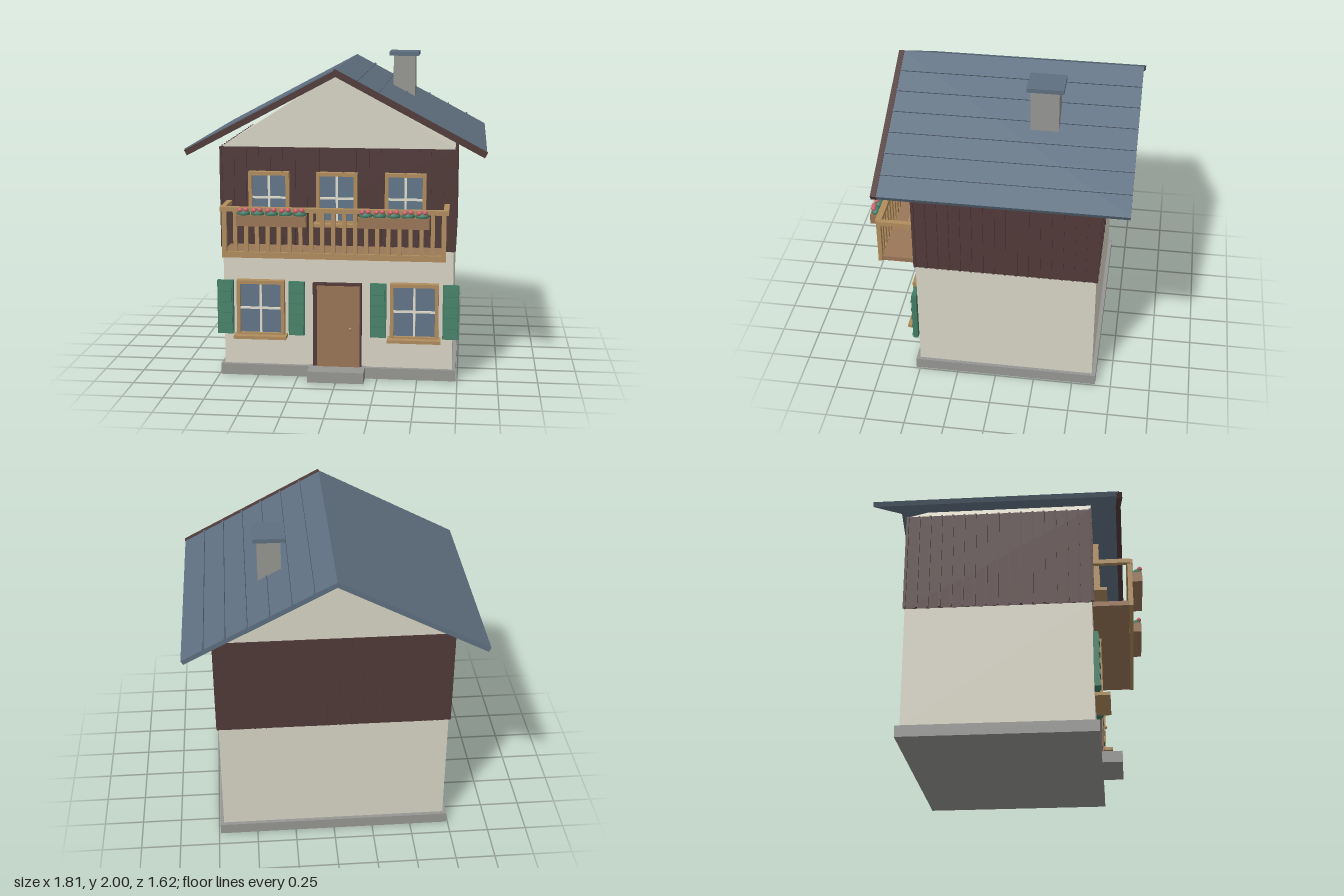
import * as THREE from 'three';

const mat = (name, color) => Object.assign(new THREE.MeshStandardMaterial({ color }), { name });

export function createModel() {
  const house = new THREE.Group();
  house.name = 'house';
  const plaster = mat('plaster', 0xd8d5c5);
  const stone = mat('stone', 0x969693);
  const darkWood = mat('dark wood', 0x513a39);
  const trimWood = mat('trim wood', 0xb08d5e);
  const brownWood = mat('brown wood', 0x9a7657);
  const slate = mat('slate', 0x5f6f80);
  const glass = mat('glass', 0x627689);
  const cream = mat('cream', 0xe2decf);
  const green = mat('green', 0x427d65);
  const red = mat('flower red', 0xd0626a);

  const add = (parent, name, geometry, material) => {
    const mesh = new THREE.Mesh(geometry, material);
    mesh.name = name;
    parent.add(mesh);
    return mesh;
  };
  // Box given by its limits on each axis
  const box = (parent, name, material, [x0, x1], [y0, y1], [z0, z1]) => {
    const mesh = add(parent, name, new THREE.BoxGeometry(x1 - x0, y1 - y0, z1 - z0), material);
    mesh.position.set((x0 + x1) / 2, (y0 + y1) / 2, (z0 + z1) / 2);
    return mesh;
  };
  const group = (parent, name) => {
    const g = new THREE.Group();
    g.name = name;
    parent.add(g);
    return g;
  };

  // Base and walls
  box(house, 'plinth', stone, [-0.74, 0.74], [0, 0.07], [-0.65, 0.525]);
  box(house, 'doorStep', stone, [-0.175, 0.175], [0.005, 0.075], [0.5, 0.65]);
  box(house, 'groundFloorWalls', plaster, [-0.717, 0.717], [0.07, 0.82], [-0.625, 0.5]);
  box(house, 'upperFloorWalls', darkWood, [-0.719, 0.719], [0.82, 1.455], [-0.627, 0.502]);
  const gableShape = new THREE.Shape([
    new THREE.Vector2(-0.717, 1.455), new THREE.Vector2(0.717, 1.455), new THREE.Vector2(0, 1.912),
  ]);
  const gableGeo = new THREE.ExtrudeGeometry(gableShape, { depth: 1.125, bevelEnabled: false });
  add(house, 'gable', gableGeo, plaster).position.z = -0.625;

  // Vertical battens on all four sides
  const battens = group(house, 'battens');
  const yBatten = [0.825, 1.455];
  for (let i = 0; i < 20; i++) {
    const x = -0.72 + (1.44 * i) / 19;
    box(battens, 'frontBatten', darkWood, [x - 0.006, x + 0.006], yBatten, [0.495, 0.512]);
    box(battens, 'backBatten', darkWood, [x - 0.006, x + 0.006], yBatten, [-0.636, -0.62]);
  }
  for (let i = 0; i < 17; i++) {
    const z = -0.625 + (1.125 * i) / 16;
    for (const s of [-1, 1]) {
      const x = s * 0.722;
      box(battens, 'sideBatten', darkWood, [x - 0.008, x + 0.008], yBatten, [z - 0.006, z + 0.006]);
    }
  }

  // Roof: each slope is built flat from the ridge, then tilted
  const tilt = 0.488;
  for (const s of [-1, 1]) {
    const slope = group(house, s > 0 ? 'leftRoofSlope' : 'rightRoofSlope');
    slope.position.y = 1.943;
    slope.rotation.z = -s * tilt;
    const span = (a, b) => (s > 0 ? [a, b] : [-b, -a]);
    box(slope, 'roofSlab', slate, span(0, 1.025), [-0.03, 0], [-0.81, 0.685]);
    const top = s > 0 ? 0.004 : -0.006;
    box(slope, 'bargeBoard', darkWood, span(0, 1.027), [top - 0.036, top], [0.668, 0.702]);
    if (s < 0) continue;
    // Standing seams
    for (let i = 1; i <= 6; i++) {
      const d = (0.129 * i) / Math.cos(tilt);
      box(slope, 'roofSeam', slate, [d - 0.005, d + 0.005], [-0.005, 0.008], [-0.81, 0.668]);
    }
  }

  // Chimney
  box(house, 'chimney', stone, [0.298, 0.44], [1.6, 1.975], [-0.345, -0.175]);
  box(house, 'chimneyCap', slate, [0.27, 0.463], [1.974, 2], [-0.372, -0.152]);

  // Door
  const door = group(house, 'door');
  box(door, 'doorFrame', darkWood, [-0.152, 0.152], [0.072, 0.61], [0.495, 0.53]);
  box(door, 'doorLeaf', brownWood, [-0.126, 0.142], [0.075, 0.595], [0.5, 0.536]);
  const knob = add(door, 'doorKnob', new THREE.SphereGeometry(0.01, 12, 8), trimWood);
  knob.position.set(0.085, 0.325, 0.55);

  // Framed window with crossing bars and a sill
  const addWindow = (cx, y0, y1, halfWidth, name) => {
    const win = group(house, name);
    win.position.x = cx;
    const w = halfWidth, f = 0.022, ym = (y0 + y1) / 2;
    box(win, 'pane', glass, [-w + f, w - f], [y0 + f, y1 - f], [0.5, 0.522]);
    for (const s of [-1, 1]) {
      const x = s * (w - f / 2);
      box(win, 'frameSide', trimWood, [x - f / 2, x + f / 2], [y0, y1], [0.5, 0.545]);
    }
    box(win, 'frameTop', trimWood, [-w, w], [y1 - f, y1], [0.5, 0.547]);
    box(win, 'frameBottom', trimWood, [-w, w], [y0, y0 + f], [0.5, 0.545]);
    box(win, 'uprightBar', cream, [-0.007, 0.007], [y0 + f, y1 - f], [0.515, 0.531]);
    box(win, 'crossBar', cream, [-w + f, w - f], [ym - 0.007, ym + 0.007], [0.515, 0.53]);
    box(win, 'sill', trimWood, [-w - 0.015, w + 0.015], [y0 - 0.008, y0 + 0.012], [0.5, 0.59]);
  };
  for (const x of [-0.42, 0, 0.42]) addWindow(x, 0.985, 1.307, 0.126, 'upperWindow');

  // Lower windows with louvred shutters
  for (const s of [-1, 1]) {
    addWindow(s * 0.48, 0.262, 0.62, 0.15, 'lowerWindow');
    for (const c of [0.255, 0.705]) {
      const shutter = group(house, 'shutter');
      shutter.position.x = s * c;
      box(shutter, 'shutterBoard', green, [-0.05, 0.05], [0.27, 0.612], [0.5, 0.53]);
      for (let i = 0; i < 5; i++) {
        const y = 0.305 + i * 0.068;
        const slat = box(shutter, 'slat', green, [-0.042, 0.042], [y - 0.03, y + 0.03], [0.526, 0.536]);
        slat.rotation.x = -0.12;
      }
    }
  }

  // Balcony
  const balcony = group(house, 'balcony');
  box(balcony, 'balconyFloor', brownWood, [-0.67, 0.67], [0.815, 0.845], [0.5, 0.74]);
  box(balcony, 'floorBeam', trimWood, [-0.675, 0.675], [0.812, 0.848], [0.722, 0.745]);
  box(balcony, 'frontRail', trimWood, [-0.675, 0.675], [1.095, 1.122], [0.712, 0.75]);
  for (const s of [-1, 1]) {
    const x = s * 0.66;
    box(balcony, 'cornerPost', trimWood, [x - 0.014, x + 0.014], [0.84, 1.1], [0.718, 0.745]);
    box(balcony, 'sideRail', trimWood, [s * 0.672 - 0.016, s * 0.672 + 0.016], [1.093, 1.12], [0.5, 0.735]);
  }
  for (let i = 1; i < 20; i++) {
    const x = -0.66 + 0.066 * i;
    box(balcony, 'baluster', trimWood, [x - 0.012, x + 0.012], [0.845, 1.097], [0.722, 0.74]);
  }

  // Flower boxes
  const leafGeo = new THREE.SphereGeometry(0.04, 10, 8).scale(1, 0.65, 0.75);
  const petalGeo = new THREE.SphereGeometry(0.016, 8, 6);
  for (const s of [-1, 1]) {
    const planter = group(house, 'flowerBox');
    planter.position.x = s * 0.365;
    box(planter, 'planter', brownWood, [-0.21, 0.21], [1.02, 1.085], [0.746, 0.808]);
    for (let i = -2; i <= 2; i++) {
      const x = i * 0.084;
      add(planter, 'leaves', leafGeo, green).position.set(x, 1.093, 0.777);
      for (const [dx, dy, dz] of [[-0.018, 1.115, 0.793], [0.016, 1.118, 0.788]]) {
        add(planter, 'bloom', petalGeo, red).position.set(x + dx, dy, dz);
      }
    }
  }
  return house;
}
